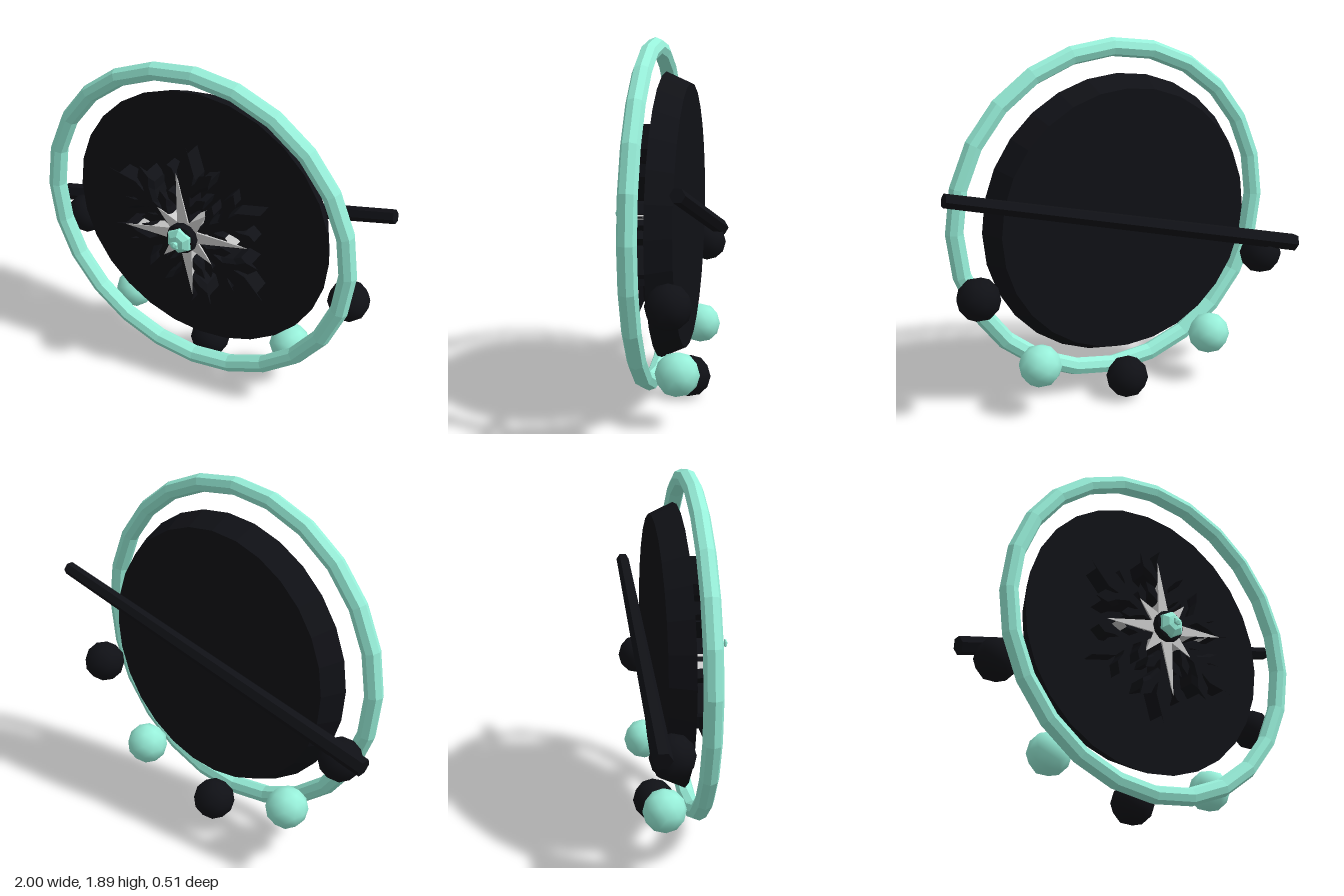
import * as THREE from 'three';

const dark = new THREE.MeshStandardMaterial({ color: 0x101116 });
const darkFlat = new THREE.MeshStandardMaterial({ color: 0x101116, flatShading: true });
const teal = new THREE.MeshStandardMaterial({ color: 0x98f0da });
const tealFlat = new THREE.MeshStandardMaterial({ color: 0x98f0da, flatShading: true });
const pale = new THREE.MeshStandardMaterial({ color: 0xe6e6e6, flatShading: true });

const CY = 0.98; // height of the common axis

function add(parent, name, geometry, material, x = 0, y = 0, z = 0) {
  const mesh = new THREE.Mesh(geometry, material);
  mesh.name = name;
  mesh.position.set(x, y, z);
  parent.add(mesh);
  return mesh;
}

// One pointed leaf with its root at the origin, growing along +y
function leafShape(length, rootHalf, bellyHalf) {
  return new THREE.Shape([
    [-rootHalf, 0], [rootHalf, 0], [rootHalf, length * 0.45],
    [bellyHalf, length * 0.7], [0, length],
    [-bellyHalf, length * 0.7], [-rootHalf, length * 0.45],
  ].map(([x, y]) => new THREE.Vector2(x, y)));
}

// Six-armed relief with paired side branches; the front edge overhangs the body
function buildSnowflake() {
  const flake = new THREE.Group();
  flake.name = 'snowflake';
  const depth = 0.12;
  const leaf = (length, root, belly, base, tilt, arm) => {
    const g = new THREE.ExtrudeGeometry(leafShape(length, root, belly), { depth, steps: 5, bevelEnabled: false });
    g.rotateZ(tilt);
    g.translate(0, base, 0);
    g.rotateZ(arm);
    const p = g.attributes.position;
    for (let i = 0; i < p.count; i++) {
      const k = p.getZ(i) > depth - 0.001 ? 1 : 0.89;
      p.setXY(i, p.getX(i) * k, p.getY(i) * k);
    }
    g.computeVertexNormals();
    add(flake, 'snowflakeLeaf', g, darkFlat);
  };
  for (let i = 0; i < 6; i++) {
    const arm = i * Math.PI / 3;
    leaf(0.53, 0.024, 0.048, 0, 0, arm);
    for (const side of [-1, 1]) {
      leaf(0.22, 0.018, 0.034, 0.24, side * 0.75, arm);
      leaf(0.16, 0.016, 0.026, 0.13, side * 0.8, arm);
    }
  }
  return flake;
}

// Eight-pointed star: flat face with long tips over a shorter-tipped body
function starGeometry() {
  const section = (long, short, notch, z) => Array.from({ length: 16 }, (_, i) => {
    const a = i * Math.PI / 8 + 0.13;
    const r = i % 4 === 0 ? long : i % 2 === 0 ? short : notch;
    return [r * Math.cos(a), r * Math.sin(a), z];
  });
  const sections = [
    section(0.37, 0.205, 0.085, 0.128),
    section(0.3, 0.165, 0.078, 0.11),
    section(0.3, 0.165, 0.078, 0),
  ];
  const pos = [];
  for (let i = 0; i < 16; i++) {
    const j = (i + 1) % 16;
    const [front, , back] = sections;
    pos.push(0, 0, 0.128, ...front[i], ...front[j], 0, 0, 0, ...back[j], ...back[i]);
    for (let s = 0; s < 2; s++) {
      const a = sections[s], b = sections[s + 1];
      pos.push(...a[i], ...b[i], ...b[j], ...a[i], ...b[j], ...a[j]);
    }
  }
  const g = new THREE.BufferGeometry();
  g.setAttribute('position', new THREE.Float32BufferAttribute(pos, 3));
  g.computeVertexNormals();
  return g;
}

// Turned part whose axis points forward: profile of [radius, z]
function turned(profile, sides) {
  const pts = profile.map(([r, z]) => new THREE.Vector2(r, z));
  return new THREE.LatheGeometry(pts, sides).rotateX(Math.PI / 2);
}

export function createModel() {
  const model = new THREE.Group();
  model.name = 'emblem';

  // Outer hoop
  add(model, 'hoop', new THREE.TorusGeometry(0.867, 0.048, 8, 24), tealFlat, 0, CY, 0.037);

  // Tapered disc, wider at the front
  const disc = new THREE.CylinderGeometry(0.742, 0.685, 0.127, 28).rotateX(Math.PI / 2);
  add(model, 'disc', disc, darkFlat, 0, CY, -0.082);

  // Relief and star
  const flake = buildSnowflake();
  flake.position.set(0, CY, 0.005);
  model.add(flake);
  add(model, 'star', starGeometry(), pale, 0, CY, 0.01);

  // Hub: dark collar, hexagonal cap and finial
  add(model, 'hubCollar', turned([
    [0, 0.12], [0.06, 0.12], [0.08, 0.14], [0.085, 0.16], [0.08, 0.18], [0.06, 0.188], [0, 0.188],
  ], 12), darkFlat, 0, CY, 0);
  add(model, 'hubCap', turned([
    [0, 0.178], [0.075, 0.18], [0.07, 0.198], [0.042, 0.22], [0.012, 0.223],
    [0.01, 0.232], [0.024, 0.238], [0.02, 0.245], [0, 0.252],
  ], 6), tealFlat, 0, CY, 0);

  // Five balls behind the lower half of the hoop
  const ball = new THREE.IcosahedronGeometry(0.112, 1);
  add(model, 'bottomBall', ball, dark, 0, 0.112, -0.145);
  for (const side of [-1, 1]) {
    add(model, 'lowerBall', ball, teal, side * 0.498, 0.272, -0.145);
    add(model, 'sideBall', ball, dark, side * 0.815, 0.688, -0.145);
  }

  // Slanted, tapering hexagonal rod across the back
  const rod = new THREE.CylinderGeometry(0.036, 0.047, 2.042, 6);
  add(model, 'rod', rod, darkFlat, 0, 0.985, -0.21).rotation.z = -Math.PI / 2 + 0.242;

  return model;
}
